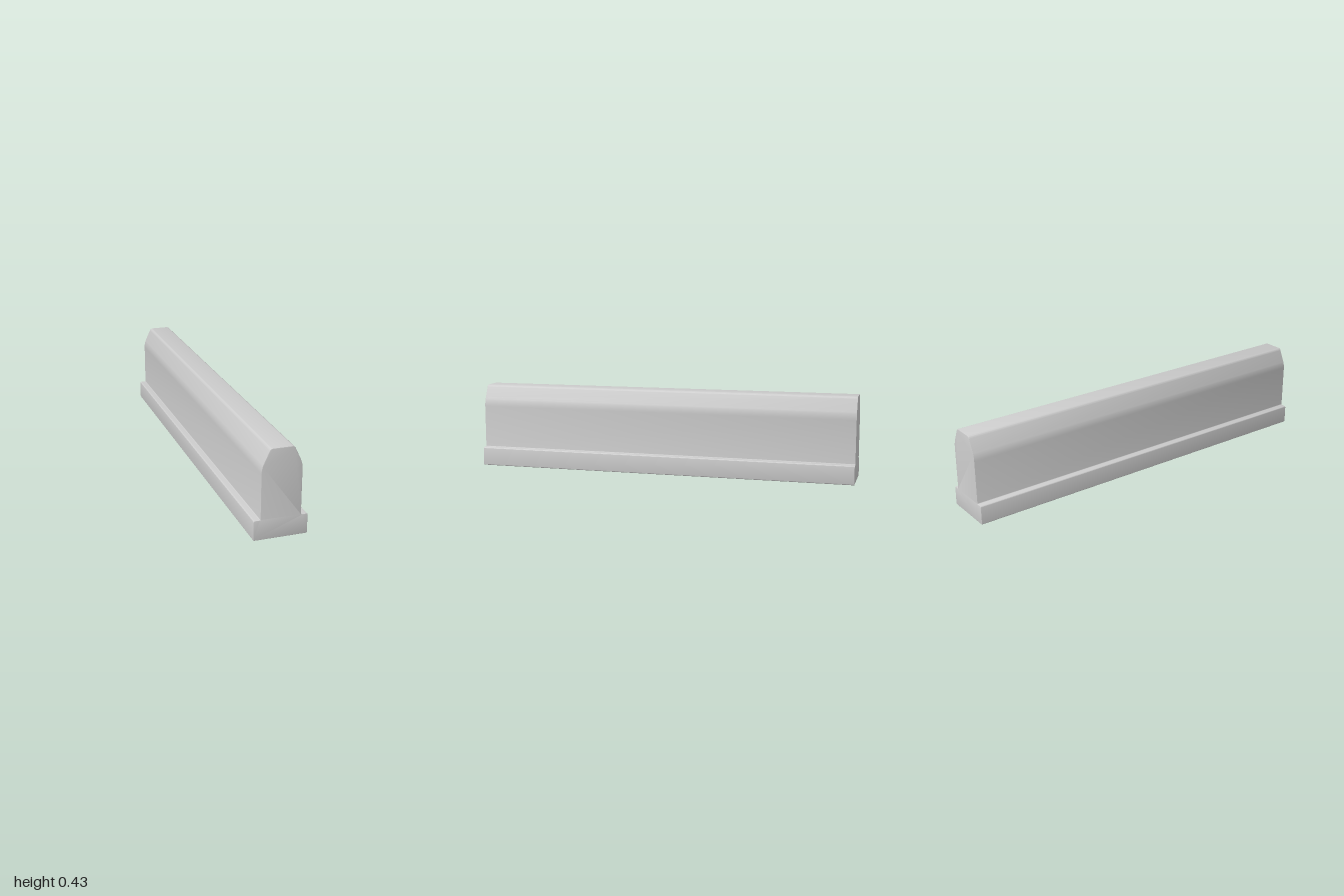
import * as THREE from 'three';
import { toCreasedNormals } from 'three/addons/utils/BufferGeometryUtils.js';

const LENGTH = 2;
const BEVEL = 0.003;

// Closed outline whose corners [x, y, radius] are softened by short curves
function roundedShape(corners) {
  const shape = new THREE.Shape();
  corners.forEach(([x, y, r], i) => {
    const corner = new THREE.Vector2(x, y);
    const towards = ([px, py]) =>
      new THREE.Vector2(px, py).sub(corner).setLength(r).add(corner);
    const start = towards(corners.at(i - 1));
    const end = towards(corners[(i + 1) % corners.length]);
    if (i === 0) shape.moveTo(start.x, start.y);
    else shape.lineTo(start.x, start.y);
    shape.quadraticCurveTo(x, y, end.x, end.y);
  });
  shape.closePath();
  return shape;
}

export function createModel() {
  const group = new THREE.Group();
  group.name = 'barrier';

  // Right half of the cross-section: foot, ledge, wall, shoulder, top
  const half = [
    [0.13, 0, 0.007],
    [0.129, 0.098, 0.008],
    [0.097, 0.098, 0.005],
    [0.097, 0.345, 0.025],
    [0.056, 0.434, 0.012],
  ];
  const mirrored = half.map(([x, y, r]) => [-x, y, r]).reverse();

  // Profile run along z with slightly eased end edges
  const geometry = new THREE.ExtrudeGeometry(roundedShape([...half, ...mirrored]), {
    depth: LENGTH - 2 * BEVEL,
    curveSegments: 6,
    bevelSize: BEVEL,
    bevelThickness: BEVEL,
    bevelOffset: -BEVEL,
    bevelSegments: 2,
  });
  geometry.translate(0, 0, BEVEL - LENGTH / 2);

  const wall = new THREE.Mesh(
    toCreasedNormals(geometry, 0.42),
    new THREE.MeshStandardMaterial({ color: 0xcccccc })
  );
  wall.name = 'wallWithFoot';
  group.add(wall);
  return group;
}
